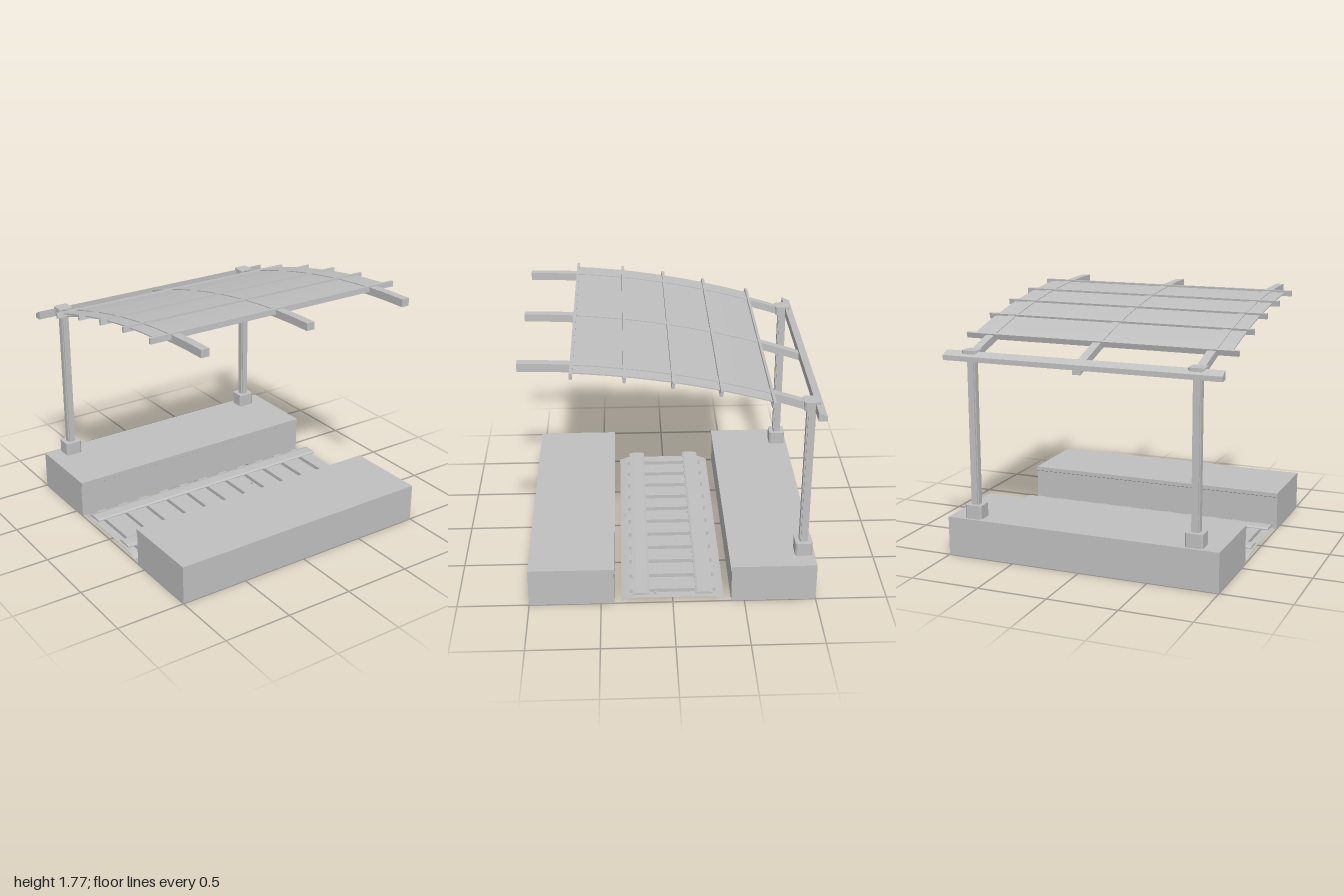
import * as THREE from 'three';

const grey = new THREE.MeshStandardMaterial({ color: 0xc0c0c0 });
grey.name = 'concrete grey';
const sheetGrey = new THREE.MeshStandardMaterial({ color: 0xc0c0c0, side: THREE.DoubleSide });
sheetGrey.name = 'gravel grey';

// Height of the canopy's upper curve at depth z
const roofY = z => 1.775 - 0.0875 * (1 - z) ** 2;

export function createModel() {
  const model = new THREE.Group();

  const add = (name, geometry, x = 0, y = 0, z = 0, material = grey) => {
    const mesh = new THREE.Mesh(geometry, material);
    mesh.name = name;
    mesh.position.set(x, y, z);
    model.add(mesh);
    return mesh;
  };
  const box = (name, w, h, d, x, y, z) => add(name, new THREE.BoxGeometry(w, h, d), x, y, z);

  // Extrude a [z, y] section along x, centred on x = 0
  const alongX = (section, width) => {
    const shape = new THREE.Shape(section.map(([z, y]) => new THREE.Vector2(-z, y)));
    return new THREE.ExtrudeGeometry(shape, { depth: width, bevelEnabled: false })
      .translate(0, 0, -width / 2).rotateY(Math.PI / 2);
  };
  // Curved strip following the canopy
  const roofStrip = (z0, z1, top, bottom, width, steps = 12) => {
    const upper = [], lower = [];
    for (let i = 0; i <= steps; i++) {
      const z = z0 + (z1 - z0) * i / steps;
      upper.push([z, roofY(z) + top]);
      lower.unshift([z, roofY(z) + bottom]);
    }
    return alongX([...upper, ...lower], width);
  };
  // Upright block with chamfered vertical corners
  const chamferedBlock = (w, d, h, c) => {
    const a = w / 2, b = d / 2;
    const shape = new THREE.Shape([[-a + c, -b], [a - c, -b], [a, -b + c], [a, b - c],
      [a - c, b], [-a + c, b], [-a, b - c], [-a, -b + c]].map(p => new THREE.Vector2(...p)));
    return new THREE.ExtrudeGeometry(shape, { depth: h, bevelEnabled: false }).rotateX(-Math.PI / 2);
  };

  // Platforms with a slim lip over the track
  for (const s of [1, -1]) {
    add('platform', alongX([[s * 0.408, 0.005], [s, 0.005], [s, 0.28], [s * 0.4, 0.28],
      [s * 0.4, 0.25], [s * 0.408, 0.245]], 2));
  }
  box('platformFoot', 2, 0.006, 0.59, 0, 0.003, 0.704);
  box('platformFoot', 2, 0.006, 0.59, 0, 0.003, -0.704);

  // Gravel bed: a thin sheet with drooping edges
  const bed = new THREE.PlaneGeometry(2, 0.72, 24, 12).rotateX(-Math.PI / 2);
  const p = bed.attributes.position;
  for (let i = 0; i < p.count; i++) {
    const edge = Math.max(0, Math.abs(p.getZ(i)) - 0.29) / 0.07;
    p.setY(i, 0.042 - 0.027 * edge);
  }
  bed.computeVertexNormals();
  add('gravelBed', bed, 0, 0, 0, sheetGrey);

  // Loose stones
  for (const [x, z] of [[-0.79, 0.1], [0.95, 0.12], [0.3, -0.05], [-0.35, 0.02], [0.62, -0.32], [-0.1, 0.33]]) {
    const y = Math.abs(z) > 0.3 ? 0.03 : 0.046;
    add('stone', new THREE.TetrahedronGeometry(0.016), x, y, z).rotation.set(x * 5, z * 9, 0.4);
  }

  // Sleepers
  for (let i = 0; i < 11; i++) box('sleeper', 0.075, 0.03, 0.6, -0.9 + i * 0.18, 0.055, 0);

  // Low chamfered rails
  for (const s of [1, -1]) {
    add('rail', alongX([[s * 0.16, 0.066], [s * 0.16, 0.074], [s * 0.175, 0.081],
      [s * 0.25, 0.081], [s * 0.28, 0.074], [s * 0.28, 0.066]], 2));
  }

  // Columns with base blocks and bracket caps
  for (const x of [-0.815, 0.815]) {
    add('columnBase', chamferedBlock(0.125, 0.12, 0.097, 0.012), x, 0.28, -0.92);
    box('column', 0.06, 1.06, 0.042, x, 0.9, -0.92);
    box('columnRib', 0.042, 1.06, 0.06, x, 0.9, -0.92);
    add('columnCap', chamferedBlock(0.11, 0.11, 0.062, 0.014), x, 1.412, -0.92);
    add('columnNeck', chamferedBlock(0.08, 0.08, 0.02, 0.012), x, 1.396, -0.92);
  }

  // Rear beam, sloping with the canopy
  add('rearBeam', alongX([[-0.94, 1.405], [-0.94, 1.466], [-1, 1.437], [-1, 1.402]], 2));

  // Curved rafters: the middle one runs on under the beam
  for (const x of [-0.815, 0, 0.815]) {
    add('rafter', roofStrip(x ? -0.92 : -1, 1, 0, x ? -0.055 : -0.053, 0.06), x);
  }

  // Roof sheets between the rafters
  for (const [x0, x1] of [[-0.95, -0.845], [-0.785, -0.03], [0.03, 0.785], [0.845, 0.95]]) {
    add('roofSheet', roofStrip(-0.65, 0.65, -0.006, -0.014, x1 - x0), (x0 + x1) / 2);
  }

  // Cross battens
  for (const z of [-0.65, -0.31, 0, 0.31, 0.65]) {
    const batten = box('batten', 2, 0.04, 0.02, 0, roofY(z) - 0.012, z);
    batten.rotation.x = -Math.atan(0.175 * (1 - z));
  }

  return model;
}
